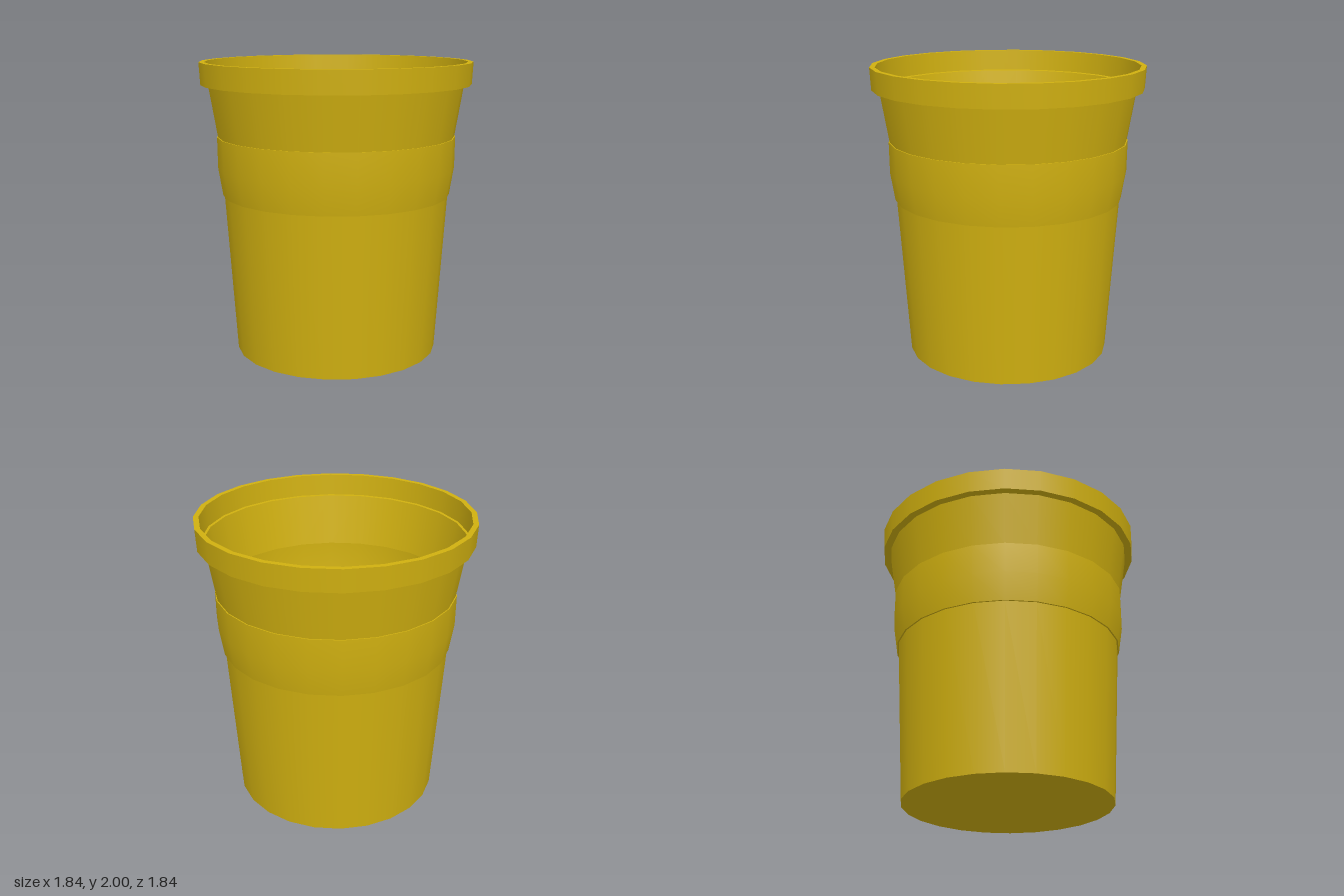
import * as THREE from 'three';

const SIDES = 24;

export function createModel() {
  const model = new THREE.Group();
  model.name = 'cup';
  const material = new THREE.MeshStandardMaterial({ color: 0xd0b010, side: THREE.DoubleSide });

  // Each section is smooth in itself; separate sections meet in sharp edges.
  function addSection(parent, name, profile) {
    const points = profile.map(([r, y]) => new THREE.Vector2(r, y));
    const mesh = new THREE.Mesh(new THREE.LatheGeometry(points, SIDES), material);
    mesh.name = name;
    parent.add(mesh);
  }

  // Thin floor and tapered lower wall
  addSection(model, 'floor', [[0, 0], [0.7, 0]]);
  addSection(model, 'lowerWall', [[0.7, 0], [0.77, 1.1]]);

  // Grip band, slightly proud of the walls above and below
  const band = new THREE.Group();
  band.name = 'gripBand';
  addSection(band, 'bandUnderside', [[0.77, 1.1], [0.78, 1.1]]);
  addSection(band, 'bandWall', [[0.78, 1.1], [0.81, 1.29], [0.812, 1.5]]);
  addSection(band, 'bandTop', [[0.812, 1.5], [0.805, 1.5]]);
  model.add(band);

  // Flared upper wall
  addSection(model, 'upperWall', [[0.805, 1.5], [0.862, 1.85]]);

  // Thick rim with an inner ledge
  const rim = new THREE.Group();
  rim.name = 'rim';
  addSection(rim, 'rimUnderside', [[0.862, 1.85], [0.912, 1.85]]);
  addSection(rim, 'rimOuter', [[0.912, 1.85], [0.92, 2]]);
  addSection(rim, 'rimTop', [[0.92, 2], [0.884, 2]]);
  addSection(rim, 'rimInner', [[0.884, 2], [0.876, 1.855]]);
  addSection(rim, 'rimLedge', [[0.876, 1.855], [0.862, 1.855]]);
  model.add(rim);

  return model;
}
